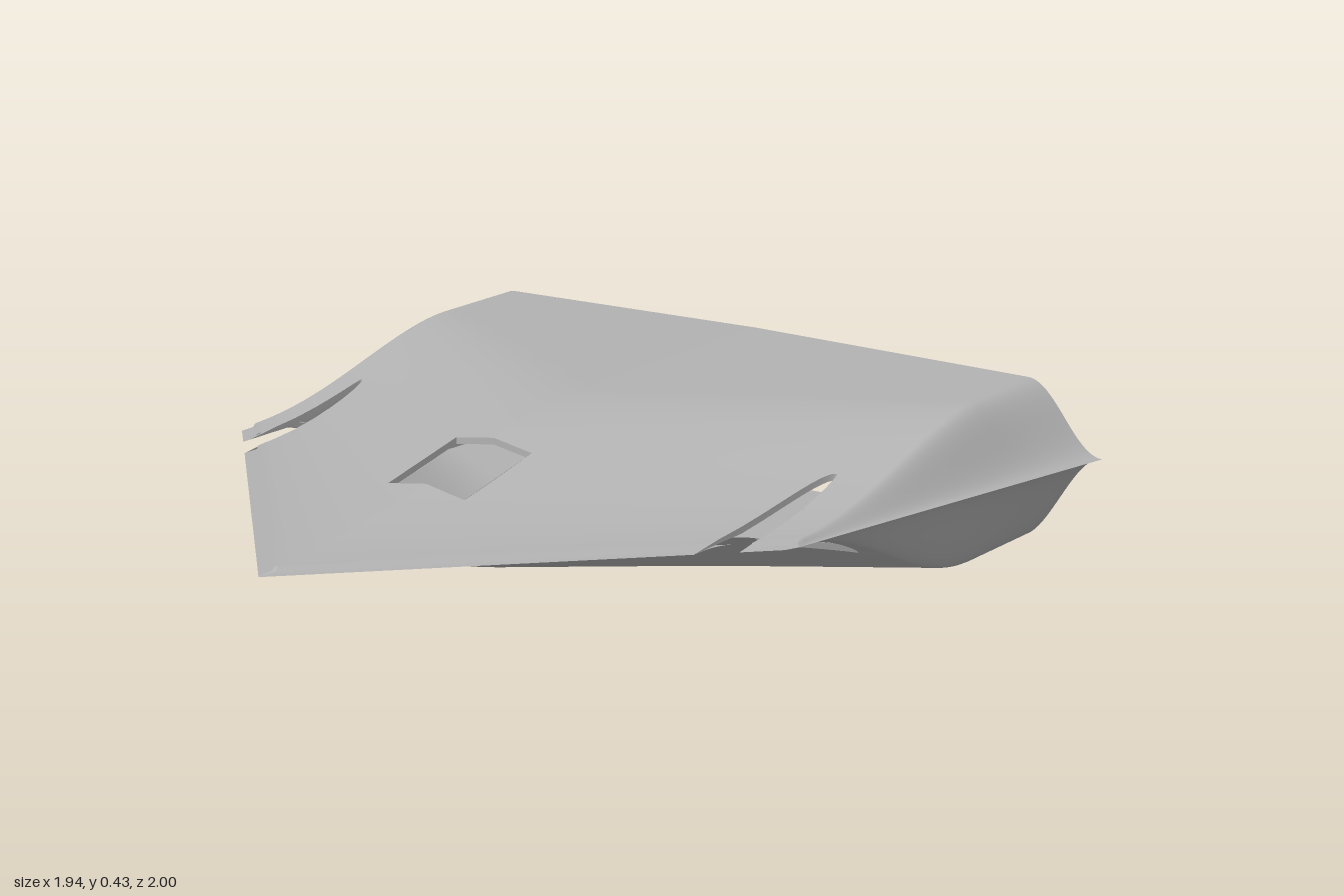
import * as THREE from 'three';

const hullGrey = new THREE.MeshStandardMaterial({ color: 0xb2b2b2, side: THREE.DoubleSide });
hullGrey.name = 'hull grey';

const NOSE = -0.97, REAR = 0.97, CHINE = 0.79, BAY = 0.78;
const clamp = (v) => Math.min(1, Math.max(0, v));
const smooth = (t) => t * t * (3 - 2 * t);
const lead = (z) => NOSE + z / 0.975;              // swept leading edge
const flare = (x) => 0.186 * (x + 0.16);           // width of the side fin beyond the chine

// Height of the hull skin; side is 1 for the upper skin and -1 for the lower one
function skinY(x, zSigned, side, inner) {
  const z = Math.abs(zSigned), zi = Math.min(z, CHINE);
  const d = x - lead(zi), f = clamp(d / (1.17 - 0.32 * zi / CHINE));
  let h = side > 0
    ? 0.008 * clamp((d - 0.045) / 0.005) + 0.15 * smooth(f ** 1.15) - 0.01 * f * zi / CHINE
    : 0.257 * smooth(f) + 0.018 * clamp((x - 0.2) / 0.77) - 0.015 * f * zi / CHINE;
  if (inner) h = Math.max(0, h - 0.016);
  const y = 0.275 + side * h;
  if (z <= CHINE) return y;
  const s = clamp((z - CHINE) / Math.max(flare(x), 1e-4));
  const edge = 0.272 - 0.024 * clamp((x + 0.16) / 1.13);
  return edge + (y - edge) * (1 + Math.cos(Math.PI * s)) / 2;
}

function skinNormal(x, z, side, inner) {
  const e = 0.004, q = (a, b) => skinY(a, b, side, inner);
  const n = new THREE.Vector3(-(q(x + e, z) - q(x - e, z)) / (2 * e), 1, -(q(x, z + e) - q(x, z - e)) / (2 * e));
  return n.normalize().multiplyScalar(side * (inner ? -1 : 1));
}

// Grid of quads from point(i, j), with optional normals
function grid(name, nu, nv, point, normal, flip) {
  const pos = [], nor = [], idx = [];
  for (let j = 0; j <= nv; j++) for (let i = 0; i <= nu; i++) {
    const p = point(i, j);
    pos.push(...p);
    if (normal) nor.push(...normal(p).toArray());
    if (i === nu || j === nv) continue;
    const a = j * (nu + 1) + i, b = a + 1, c = a + nu + 1, d = c + 1;
    idx.push(...(flip ? [a, c, b, b, c, d] : [a, b, c, b, d, c]));
  }
  const g = new THREE.BufferGeometry();
  g.setAttribute('position', new THREE.Float32BufferAttribute(pos, 3));
  g.setIndex(idx);
  if (normal) g.setAttribute('normal', new THREE.Float32BufferAttribute(nor, 3));
  else g.computeVertexNormals();
  const mesh = new THREE.Mesh(g, hullGrey);
  mesh.name = name;
  return mesh;
}

// One strip of skin between z0 and z1, running from start(z) to end
function strip(name, m, side, inner, z0, z1, start, end, nv, fin) {
  const nu = 48;
  const point = (i, j) => {
    const v = (1 - Math.cos(Math.PI * j / nv)) / 2;
    let z = z0 + (z1 - z0) * v;
    const a = start(z);
    const x = i === 0 ? a : i === 1 ? a + 0.045 : a + 0.05 + (end - a - 0.05) * (i - 2) / (nu - 2);
    if (fin) z = CHINE + flare(x) * j / nv;
    return [x, skinY(x, z, side, inner), z * m];
  };
  return grid(name, nu, nv, point, (p) => skinNormal(p[0], p[2], side, inner), m * side * (inner ? -1 : 1) > 0);
}

// Inboard ends of the side slots in the upper and lower skins
const upperSlot = (z) => {
  const t = (z - 0.705) / (z < 0.705 ? 0.055 : 0.015);
  return Math.max(lead(z), -0.3 + 0.5 * Math.sqrt(Math.max(0, 1 - t * t)));
};
const lowerSlot = (z) => {
  if (z <= 0.755) return -0.05 + 0.27 * (z - 0.65) / 0.105;
  const t = (z - 0.755) / 0.025;
  return Math.max(lead(z), -0.17 + 0.39 * Math.sqrt(Math.max(0, 1 - t * t)));
};

// Cut edge of the skin along a path of [x, z]
function cutEdge(name, m, side, path) {
  return grid(name, path.length - 1, 1, (i, j) => {
    const [x, z] = path[i];
    return [x, skinY(x, z, side, j === 1), z * m];
  });
}

function slotPath(slot, z0, zTip, z1) {
  const path = [];
  for (const [a, b] of [[z0, zTip], [zTip, z1]])
    for (let i = 0; i <= 12; i++) {
      const z = a + (b - a) * (1 - Math.cos(Math.PI * i / 12)) / 2;
      path.push([slot(z), z]);
    }
  return path;
}

export function createModel() {
  const model = new THREE.Group();
  model.name = 'wedge hull';

  for (const m of [1, -1]) {
    const half = new THREE.Group();
    half.name = m > 0 ? 'leftHalf' : 'rightHalf';
    model.add(half);

    for (const inner of [false, true]) {
      const layer = inner ? 'Lining' : 'Skin';
      const outZ = inner ? BAY : CHINE;
      // Upper skin, with the hatch opening and the teardrop slot left out
      const up = (z0, z1, s, e, n) => half.add(strip('upper' + layer, m, 1, inner, z0, z1, s, e, n));
      up(0, 0.11, lead, -0.41, 6);
      up(0, 0.11, () => -0.16, REAR, 6);
      up(0.11, 0.65, lead, REAR, 24);
      up(0.65, 0.705, upperSlot, REAR, 12);
      up(0.705, 0.72, upperSlot, REAR, 12);
      up(0.72, outZ, lead, REAR, 6);
      // Lower skin, with the slanted slot left out
      const low = (z0, z1, s, n) => half.add(strip('lower' + layer, m, -1, inner, z0, z1, s, REAR, n));
      low(0, 0.65, lead, 28);
      low(0.65, 0.755, lowerSlot, 12);
      low(0.755, 0.78, lowerSlot, 12);
      if (!inner) low(0.78, outZ, lead, 2);
    }

    // Flared side fin, above and below
    for (const side of [1, -1])
      half.add(strip('sideFin', m, side, false, CHINE, CHINE, () => -0.16, REAR, 20, true));

    // Edges of the openings
    half.add(cutEdge('hatchEdge', m, 1, [[-0.41, 0], [-0.41, 0.11]]));
    half.add(cutEdge('hatchEdge', m, 1, [[-0.41, 0.11], [-0.16, 0.11]]));
    half.add(cutEdge('hatchEdge', m, 1, [[-0.16, 0.11], [-0.16, 0]]));
    half.add(cutEdge('upperSlotEdge', m, 1, slotPath(upperSlot, 0.65, 0.705, 0.72)));
    half.add(cutEdge('lowerSlotEdge', m, -1, slotPath(lowerSlot, 0.65, 0.755, 0.78)));

    // Inner wall of the open rear bay
    half.add(grid('bayWall', 30, 1, (i, j) => {
      const x = -0.17 + (REAR + 0.17) * i / 30;
      return [x, skinY(x, BAY, j ? 1 : -1, true), BAY * m];
    }, () => new THREE.Vector3(0, 0, -m), m > 0));

    // Rear faces: thin rims around the bay and solid ends of the fins
    const back = () => new THREE.Vector3(1, 0, 0);
    for (const side of [1, -1])
      half.add(grid('rearRim', 8, 1, (i, j) => {
        const z = BAY * i / 8;
        return [REAR, skinY(REAR, z, side, j === 1), z * m];
      }, back, m * side < 0));
    half.add(grid('rearFinFace', 24, 1, (i, j) => {
      const z = BAY + (1 - BAY) * i / 24;
      return [REAR, skinY(REAR, z, j ? 1 : -1, false), z * m];
    }, back, m > 0));
  }
  return model;
}
